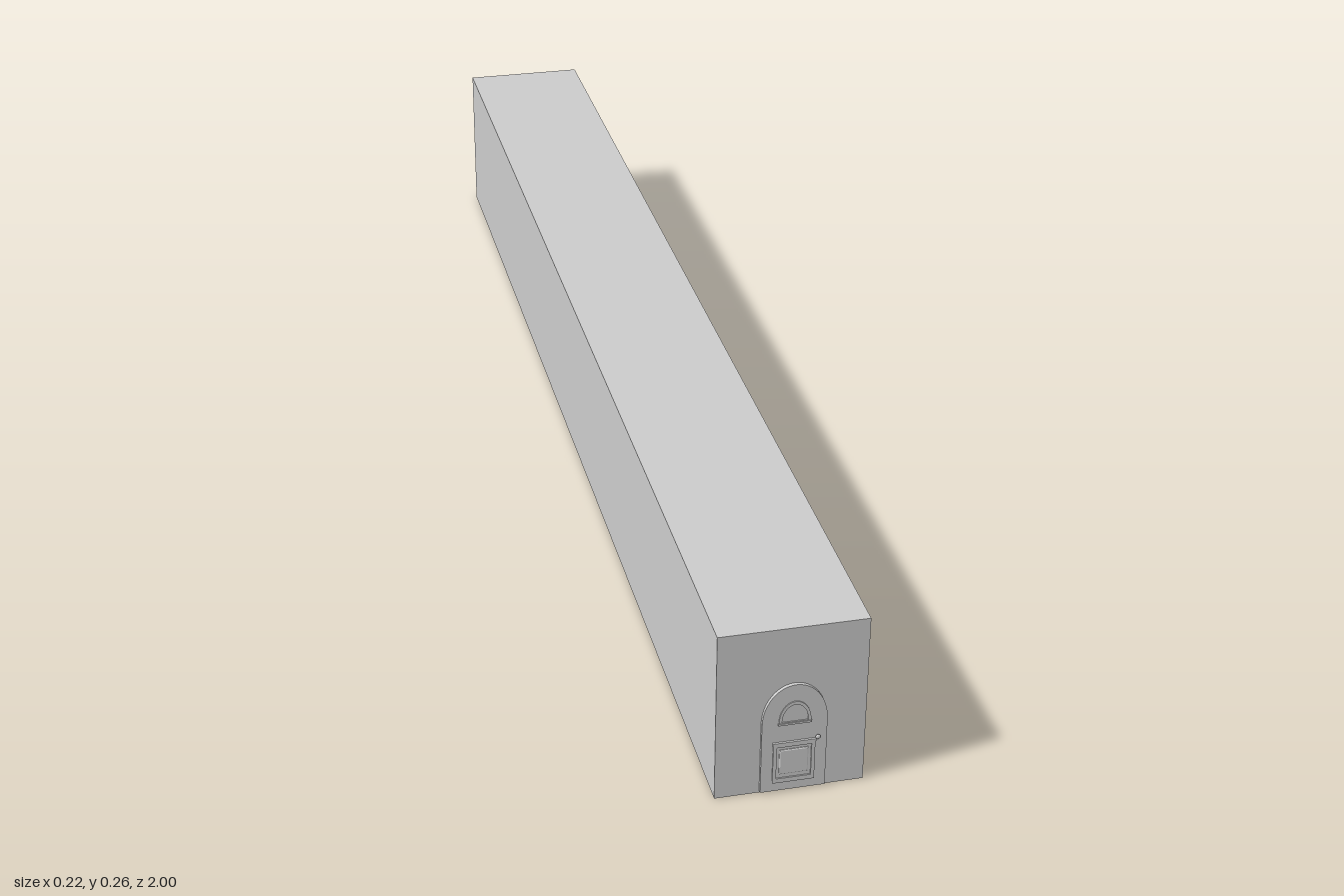
import * as THREE from 'three';

const material = new THREE.MeshStandardMaterial({ color: 0xcccccc });

function add(parent, name, geometry, x = 0, y = 0, z = 0) {
  const mesh = new THREE.Mesh(geometry, material);
  mesh.name = name;
  mesh.position.set(x, y, z);
  parent.add(mesh);
  return mesh;
}

// Box given by its x, y and z ranges
function block(parent, name, x0, x1, y0, y1, z0, z1) {
  return add(parent, name, new THREE.BoxGeometry(x1 - x0, y1 - y0, z1 - z0),
    (x0 + x1) / 2, (y0 + y1) / 2, (z0 + z1) / 2);
}

const rect = (x0, x1, y0, y1) => new THREE.Shape([
  new THREE.Vector2(x0, y0), new THREE.Vector2(x1, y0),
  new THREE.Vector2(x1, y1), new THREE.Vector2(x0, y1)]);

// Straight sides up to the springing line, then a half ellipse
function arch(halfWidth, bottom, spring, top) {
  const s = new THREE.Shape();
  s.moveTo(-halfWidth, bottom);
  s.lineTo(halfWidth, bottom);
  s.lineTo(halfWidth, spring);
  s.absellipse(0, spring, halfWidth, top - spring, 0, Math.PI, false);
  s.closePath();
  return s;
}

function plate(shape, depth, holes = []) {
  shape.holes.push(...holes);
  return new THREE.ExtrudeGeometry(shape, { depth, bevelEnabled: false, curveSegments: 12 });
}

// Raised panel with sloping edges
function raised(shape, depth, bevel) {
  return new THREE.ExtrudeGeometry(shape, {
    depth: depth - bevel, bevelThickness: bevel, bevelSize: bevel * 1.5,
    bevelOffset: -bevel * 1.5, bevelSegments: 1, curveSegments: 12 });
}

// Round knob on a short stem, pointing along +z
function knob(parent, x, y, z, length, radius) {
  const stem = add(parent, 'knobStem', new THREE.CylinderGeometry(radius / 2, radius / 2, length, 10), x, y, z + length / 2);
  stem.rotation.x = Math.PI / 2;
  const ball = add(parent, 'knob', new THREE.SphereGeometry(radius, 14, 10), x, y, z + length);
  ball.scale.z = 0.6;
}

function archedDoor() {
  const door = new THREE.Group();
  door.name = 'archedDoor';
  add(door, 'archedSlab', plate(arch(0.045, 0.003, 0.113, 0.173), 0.005));

  // Lower panel: moulded frame around a raised field
  add(door, 'panelFrame', plate(rect(-0.029, 0.029, 0.017, 0.083), 0.007,
    [rect(-0.024, 0.024, 0.024, 0.075)]));
  add(door, 'panelField', raised(rect(-0.02, 0.02, 0.03, 0.07), 0.0068, 0.001));
  block(door, 'panelLedge', -0.03, 0.03, 0.079, 0.083, 0, 0.008);

  // Fanlight with sill and radiating bars
  add(door, 'fanlightFrame', plate(arch(0.022, 0.112, 0.116, 0.147), 0.0065,
    [arch(0.018, 0.115, 0.116, 0.142)]));
  block(door, 'fanlightSill', -0.023, 0.023, 0.111, 0.114, 0, 0.0075);

  knob(door, 0.032, 0.086, 0.005, 0.003, 0.0035);
  return door;
}

function sideDoor() {
  const door = new THREE.Group();
  door.name = 'sideDoor';

  // Casing on both sides and across the top
  for (const s of [-1, 1]) {
    const a = s * 0.033, b = s * 0.043;
    block(door, 'casingPost', Math.min(a, b), Math.max(a, b), 0, 0.167, 0, 0.0085);
  }
  block(door, 'casingHead', -0.033, 0.033, 0.157, 0.167, 0, 0.0085);

  // Leaf with four openings, each holding a raised panel
  const openings = [];
  for (const s of [-1, 1]) {
    for (const [y0, y1] of [[0.017, 0.073], [0.087, 0.147]]) {
      const x = s * 0.015;
      openings.push(rect(x - 0.011, x + 0.011, y0, y1));
      add(door, 'raisedPanel', raised(rect(x - 0.008, x + 0.008, y0 + 0.004, y1 - 0.004), 0.0045, 0.0015));
    }
  }
  block(door, 'leafBack', -0.033, 0.033, 0, 0.157, 0, 0.0015);
  add(door, 'leafFrame', plate(rect(-0.033, 0.033, 0, 0.157), 0.0055, openings));
  knob(door, 0.029, 0.08, 0.0055, 0.002, 0.0025);
  return door;
}

export function createModel() {
  const model = new THREE.Group();
  model.name = 'longBuilding';
  block(model, 'mainBlock', -0.108, 0.099, 0, 0.26, -1, 0.99);

  const front = archedDoor();
  front.position.set(-0.001, 0, 0.99);
  model.add(front);

  const side = sideDoor();
  side.position.set(0.099, 0, 0.132);
  side.rotation.y = Math.PI / 2;
  model.add(side);
  return model;
}
